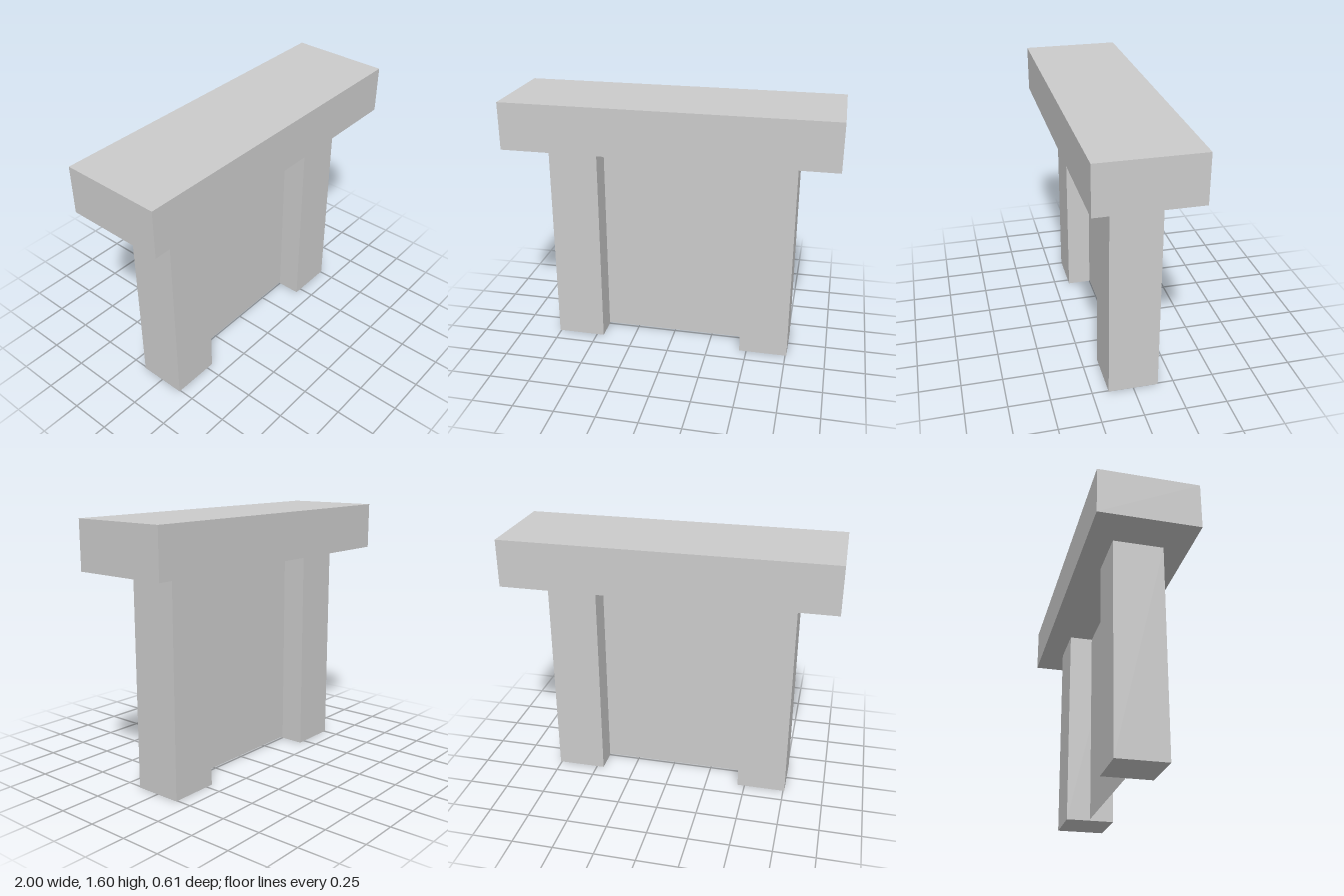
import * as THREE from 'three';

export function createModel() {
  const model = new THREE.Group();
  const material = new THREE.MeshStandardMaterial({ color: 0xcccccc, flatShading: true });
  const panelMaterial = new THREE.MeshStandardMaterial({ color: 0xcccccc, side: THREE.DoubleSide });

  const add = (name, geometry, mat, x, y) => {
    const mesh = new THREE.Mesh(geometry, mat);
    mesh.name = name;
    mesh.position.set(x, y, 0);
    model.add(mesh);
  };

  const pillarHeight = 1.31, lintelHeight = 0.29, gap = 0.91, pillarWidth = 0.303;

  // Heavy slab across the top
  add('lintel', new THREE.BoxGeometry(2, lintelHeight, 0.606), material, 0, pillarHeight + lintelHeight / 2);

  // Square pillars, mirrored left and right
  for (const [name, side] of [['leftPillar', 1], ['rightPillar', -1]]) {
    add(name, new THREE.BoxGeometry(pillarWidth, pillarHeight, 0.303), material,
      side * (gap + pillarWidth) / 2, pillarHeight / 2);
  }

  // Thin sheet filling the opening, just clear of the ground
  const clearance = 0.01;
  add('panel', new THREE.PlaneGeometry(gap, pillarHeight - clearance), panelMaterial,
    0, (pillarHeight + clearance) / 2);

  return model;
}
